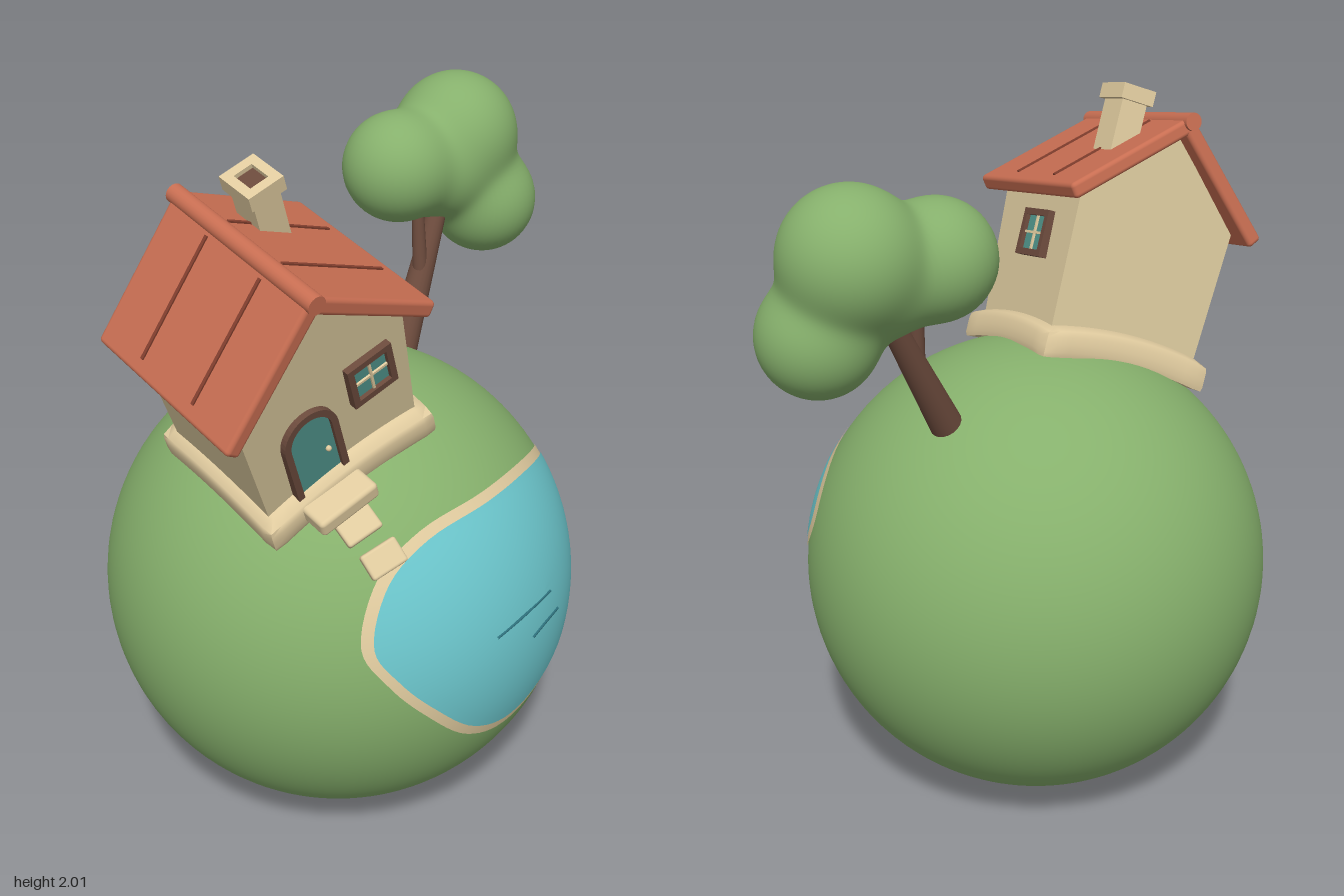
import * as THREE from 'three';
import { mergeVertices, toCreasedNormals } from 'three/addons/utils/BufferGeometryUtils.js';
import { RoundedBoxGeometry } from 'three/addons/geometries/RoundedBoxGeometry.js';

const material = (name, color) => {
  const m = new THREE.MeshStandardMaterial({ color });
  m.name = name;
  return m;
};
const V = (x, y, z) => new THREE.Vector3(x, y, z);
const UP = V(0, 1, 0);
const CENTRE = V(-0.1, 0.665, 0);
const R = 0.665;

export function createModel() {
  const grass = material('grass', 0x86b06c);
  const wall = material('wall', 0xd9c79c);
  const stone = material('stone', 0xe0cb9f);
  const roofRed = material('roofRed', 0xc86e52);
  const seamRed = material('seamRed', 0x84402f);
  const wood = material('wood', 0x6b4a3c);
  const teal = material('teal', 0x4f938a);
  const water = material('water', 0x6cc6cc);
  const ripple = material('ripple', 0x2f7480);

  const root = new THREE.Group();
  const add = (parent, name, geometry, mat, x = 0, y = 0, z = 0) => {
    const mesh = new THREE.Mesh(geometry, mat);
    mesh.name = name;
    mesh.position.set(x, y, z);
    parent.add(mesh);
    return mesh;
  };
  const box = (w, h, d, r = 0.008) => new RoundedBoxGeometry(w, h, d, 3, r);

  add(root, 'planet', new THREE.SphereGeometry(R, 96, 64), grass, CENTRE.x, CENTRE.y, CENTRE.z);

  // Pond: outline in degrees of azimuth and elevation, filled on the sphere in rings
  const shore = new THREE.CatmullRomCurve3([
    [-32, 14.4], [-27, 30], [-13.4, 38.6], [11.6, 41.4], [36, 39.7], [57.7, 33.3], [72, 25], [76.4, 16],
    [71.5, 7.3], [62, 1], [51, -5], [30, -14.4], [9.3, -20.7], [-4.5, -16.6], [-17.6, -4.7], [-26, 4.7],
  ].map(([a, e]) => V(a, e, 0)), true);
  const onSphere = (a, e, r) => {
    const A = THREE.MathUtils.degToRad(a), E = THREE.MathUtils.degToRad(e);
    return V(Math.sin(A) * Math.cos(E), Math.sin(E), Math.cos(A) * Math.cos(E)).multiplyScalar(r).add(CENTRE);
  };
  const pondPatch = (sa, se, r) => {
    const N = 96, rings = 14, pos = [], idx = [];
    for (let i = 0; i <= rings; i++) for (let j = 0; j < N; j++) {
      const p = shore.getPoint(j / N), t = i / rings;
      pos.push(...onSphere(21 + (p.x - 21) * t * sa, 12 + (p.y - 12) * t * se, r).toArray());
    }
    for (let i = 0; i < rings; i++) for (let j = 0; j < N; j++) {
      const a = i * N + j, b = i * N + (j + 1) % N;
      idx.push(a, b, a + N, b, b + N, a + N);
    }
    const g = new THREE.BufferGeometry();
    g.setAttribute('position', new THREE.Float32BufferAttribute(pos, 3));
    g.setIndex(idx);
    g.computeVertexNormals();
    return g;
  };
  add(root, 'pondShore', pondPatch(1, 1, R + 0.003), stone);
  add(root, 'pondWater', pondPatch(0.945, 0.915, R + 0.006), water);

  // A point on the front of the sphere above the given x and y
  const frontPoint = (x, y, r) => {
    const dx = x - CENTRE.x, dy = y - CENTRE.y;
    return V(x, y, Math.sqrt(r * r - dx * dx - dy * dy));
  };
  for (const pts of [[[-0.08, 0.772], [0.03, 0.79], [0.16, 0.792]], [[0.06, 0.706], [0.12, 0.717], [0.2, 0.715]]]) {
    const path = new THREE.CatmullRomCurve3(pts.map(([x, y]) => frontPoint(x, y, R + 0.007)));
    add(root, 'pondRipple', new THREE.TubeGeometry(path, 20, 0.004, 6), ripple);
  }

  // Stepping stones
  for (const [x, y] of [[-0.358, 1.11], [-0.335, 1.04]]) {
    const p = frontPoint(x, y, R + 0.004);
    const s = add(root, 'steppingStone', box(0.105, 0.03, 0.072), stone, p.x, p.y, p.z);
    s.quaternion.setFromUnitVectors(UP, p.clone().sub(CENTRE).normalize());
  }

  // House, standing along the surface normal
  const house = new THREE.Group();
  house.name = 'house';
  const up = V(-0.35, 0.917, 0.192).normalize();
  house.position.copy(CENTRE).addScaledVector(up, R);
  house.quaternion.setFromUnitVectors(UP, up);
  root.add(house);

  // Walls: gabled prism flaring slightly upwards
  const gable = new THREE.Shape([[-0.241, -0.03], [0.241, -0.03], [0.257, 0.375], [0, 0.6], [-0.257, 0.375]]
    .map(([x, y]) => new THREE.Vector2(x, y)));
  const walls = new THREE.ExtrudeGeometry(gable, { depth: 2, bevelEnabled: false }).translate(0, 0, -1);
  const wp = walls.attributes.position;
  for (let i = 0; i < wp.count; i++) wp.setZ(i, wp.getZ(i) * (0.2 + 0.035 * wp.getY(i)));
  walls.computeVertexNormals();
  add(house, 'walls', walls, wall);

  // Plinth: soft-edged slab draped over the curved ground
  let plinth = new THREE.BoxGeometry(0.55, 0.085, 0.49, 14, 4, 14);
  plinth.deleteAttribute('uv');
  plinth.deleteAttribute('normal');
  plinth = mergeVertices(plinth);
  const pp = plinth.attributes.position, half = V(0.275, 0.0425, 0.245), soft = 0.02;
  const limit = half.clone().subScalar(soft);
  for (let i = 0; i < pp.count; i++) {
    const p = V().fromBufferAttribute(pp, i);
    const inner = p.clone().clamp(limit.clone().negate(), limit);
    p.sub(inner).setLength(soft).add(inner);
    pp.setXYZ(i, p.x, p.y - 0.4 * (p.x * p.x + p.z * p.z), p.z);
  }
  add(house, 'plinth', toCreasedNormals(plinth, 0.9), stone, 0, 0.005, 0);
  add(house, 'doorStep', box(0.185, 0.05, 0.1, 0.012), stone, -0.075, -0.022, 0.27);

  // Roof: two slabs with seams, and a ridge roll
  const pitch = THREE.MathUtils.degToRad(40);
  for (const side of [1, -1]) {
    const slope = new THREE.Group();
    slope.name = side > 0 ? 'roofLeft' : 'roofRight';
    slope.position.set(side * 0.147, 0.503, 0);
    slope.rotation.z = -side * pitch;
    house.add(slope);
    add(slope, 'roofSlab', box(0.425, 0.045, 0.54, 0.012), roofRed);
    for (const z of [-0.105, 0.105]) add(slope, 'roofSeam', new THREE.BoxGeometry(0.34, 0.008, 0.009), seamRed, 0, 0.023, z);
  }
  add(house, 'ridge', new THREE.CylinderGeometry(0.025, 0.025, 0.56, 20).rotateX(Math.PI / 2), roofRed, 0, 0.638, 0);

  // Upright flat ring cut from an outline and a hole, facing +z
  const rect = (w, h) => [[-w, -h], [w, -h], [w, h], [-w, h]].map(([x, y]) => new THREE.Vector2(x / 2, y / 2));
  const ring = (outer, inner, depth) => {
    const s = new THREE.Shape(outer);
    s.holes.push(new THREE.Path(inner));
    return new THREE.ExtrudeGeometry(s, { depth, bevelEnabled: false });
  };

  // Chimney with a hollow cap
  const chimney = new THREE.Group();
  chimney.name = 'chimney';
  chimney.position.set(0.128, 0, -0.115);
  house.add(chimney);
  add(chimney, 'chimneyStack', new THREE.BoxGeometry(0.08, 0.19, 0.095), stone, 0, 0.575, 0);
  add(chimney, 'chimneyCap', ring(rect(0.105, 0.12), rect(0.054, 0.066), 0.042).rotateX(-Math.PI / 2), stone, 0, 0.658, 0);
  add(chimney, 'chimneyOpening', new THREE.BoxGeometry(0.06, 0.008, 0.07), wood, 0, 0.684, 0);

  // Door: arched frame and leaf
  const arch = (w, h) => {
    const pts = [new THREE.Vector2(-w, 0), new THREE.Vector2(w, 0)];
    for (let i = 0; i <= 20; i++) {
      const a = Math.PI * i / 20;
      pts.push(new THREE.Vector2(w * Math.cos(a), h - w + w * Math.sin(a)));
    }
    return pts;
  };
  const door = new THREE.Group();
  door.name = 'door';
  door.position.set(-0.078, 0.005, 0.195);
  house.add(door);
  add(door, 'doorFrame', ring(arch(0.083, 0.268), arch(0.064, 0.248), 0.032), wood);
  add(door, 'doorLeaf', new THREE.ExtrudeGeometry(new THREE.Shape(arch(0.066, 0.25)), { depth: 0.02, bevelEnabled: false }), teal);
  add(door, 'doorKnob', new THREE.SphereGeometry(0.008, 12, 8), stone, 0.04, 0.105, 0.024);

  // Windows on the front and on the model's left wall
  const addWindow = (x, y, z, turn) => {
    const w = new THREE.Group();
    w.name = 'window';
    w.position.set(x, y, z);
    w.rotation.y = turn;
    house.add(w);
    add(w, 'windowFrame', ring(rect(0.138, 0.132), rect(0.102, 0.096), 0.03), wood, 0, 0, -0.008);
    add(w, 'windowPane', new THREE.BoxGeometry(0.11, 0.104, 0.016), teal, 0, 0, 0.002);
    add(w, 'windowBarUpright', new THREE.BoxGeometry(0.007, 0.1, 0.008), stone, 0, 0, 0.012);
    add(w, 'windowBarLevel', new THREE.BoxGeometry(0.106, 0.007, 0.008), stone, 0, 0, 0.012);
  };
  addWindow(0.127, 0.25, 0.209, 0);
  addWindow(0.253, 0.25, -0.025, Math.PI / 2);

  // Tree: tapered limbs under a crown of blended balls
  const tree = new THREE.Group();
  tree.name = 'tree';
  root.add(tree);
  const limb = (name, a, b, r0, r1) => {
    const d = b.clone().sub(a), mid = a.clone().addScaledVector(d, 0.5);
    const m = add(tree, name, new THREE.CylinderGeometry(r1, r0, d.length(), 20), wood, mid.x, mid.y, mid.z);
    m.quaternion.setFromUnitVectors(UP, d.normalize());
  };
  limb('trunk', V(0.238, 1.2, -0.14), V(0.43, 1.56, -0.22), 0.046, 0.03);
  limb('branch', V(0.34, 1.42, -0.18), V(0.345, 1.6, -0.2), 0.022, 0.017);

  const balls = [[0.318, 1.715, -0.262, 0.157], [0.553, 1.758, -0.285, 0.18], [0.627, 1.555, -0.24, 0.157], [0.47, 1.68, -0.26, 0.14]];
  const k = 45;
  const distance = (p) => -Math.log(balls.reduce((s, [x, y, z, r]) =>
    s + Math.exp(-k * (Math.hypot(p.x - x, p.y - y, p.z - z) - r)), 0)) / k;
  let crown = new THREE.SphereGeometry(1, 80, 56);
  crown.deleteAttribute('uv');
  crown.deleteAttribute('normal');
  crown = mergeVertices(crown);
  const cp = crown.attributes.position, heart = V(0.5, 1.68, -0.26);
  for (let i = 0; i < cp.count; i++) {
    const dir = V().fromBufferAttribute(cp, i).normalize();
    let lo = 0, hi = 0.5;
    for (let n = 0; n < 22; n++) {
      const t = (lo + hi) / 2;
      if (distance(heart.clone().addScaledVector(dir, t)) < 0) lo = t; else hi = t;
    }
    const p = heart.clone().addScaledVector(dir, lo);
    cp.setXYZ(i, p.x, p.y, p.z);
  }
  crown.computeVertexNormals();
  add(tree, 'crown', crown, grass);

  return root;
}
